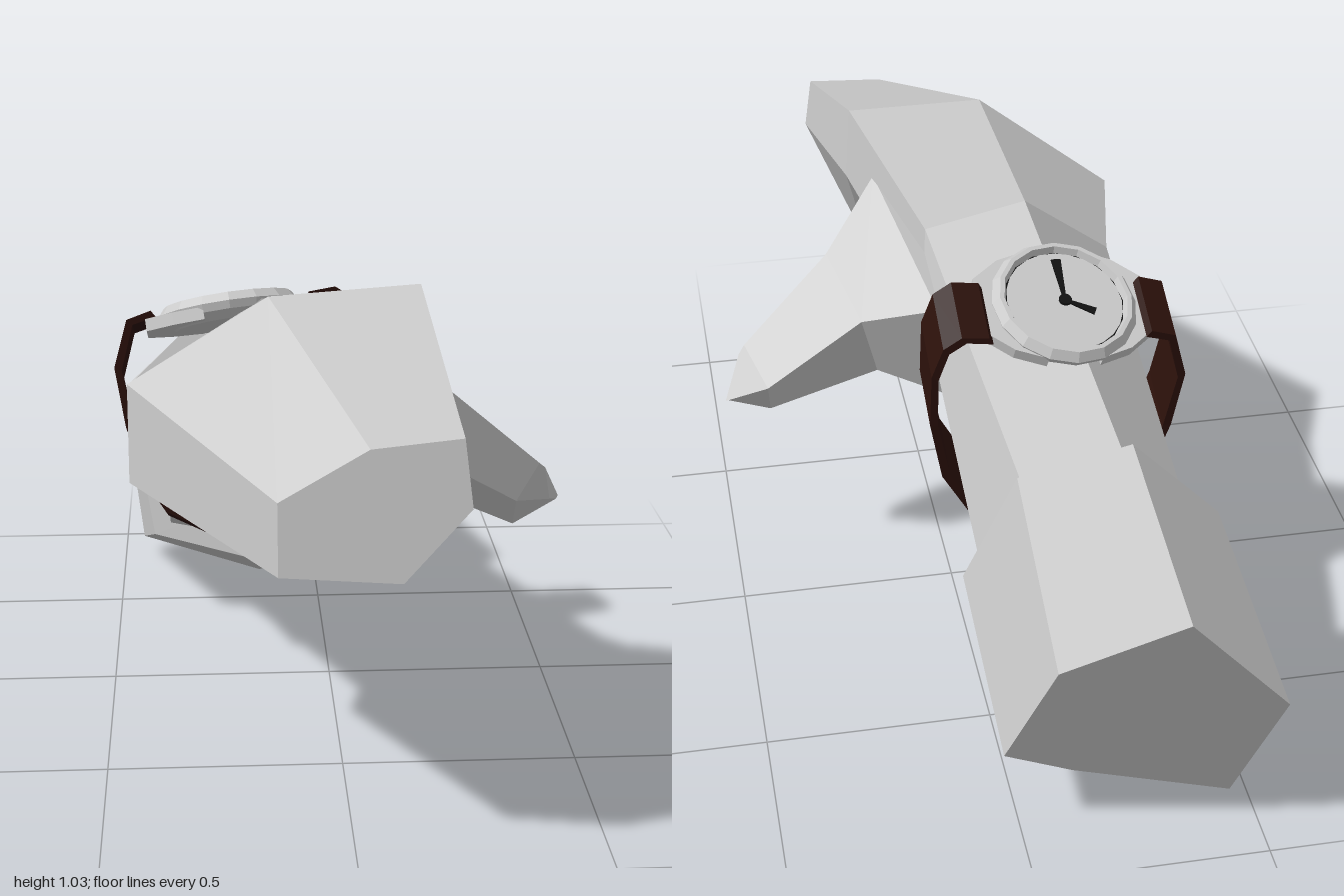
import * as THREE from 'three';

const V = (p) => new THREE.Vector3(...p);
const paint = (color) => new THREE.MeshStandardMaterial({ color });

// Skin a row of cross-sections with equal point counts, capping both ends.
// Every quad and cap gets one shared normal, so it shades as a single facet.
function loft(rings) {
  const r = rings.map((ring) => ring.map(V));
  const n = r[0].length, faces = [[...r[0]].reverse(), r[r.length - 1]];
  for (let i = 0; i + 1 < r.length; i++) {
    for (let j = 0; j < n; j++) {
      const k = (j + 1) % n;
      faces.push([r[i][j], r[i][k], r[i + 1][k], r[i + 1][j]]);
    }
  }
  const fan = (f) => f.slice(2).map((p, i) => [f[0], f[i + 1], p]);
  // A negative enclosed volume means the faces point inward: turn them round.
  const volume = faces.flatMap(fan).reduce((s, [a, b, c]) => s + a.dot(b.clone().cross(c)), 0);
  const points = [], normals = [];
  for (const face of faces) {
    const tris = fan(face).map(([a, b, c]) => (volume < 0 ? [a, c, b] : [a, b, c]));
    const normal = new THREE.Vector3();
    for (const [a, b, c] of tris) normal.add(b.clone().sub(a).cross(c.clone().sub(a)));
    normal.normalize();
    for (const p of tris.flat()) {
      points.push(p);
      normals.push(...normal.toArray());
    }
  }
  const g = new THREE.BufferGeometry().setFromPoints(points);
  g.setAttribute('normal', new THREE.Float32BufferAttribute(normals, 3));
  return g;
}

export function createModel() {
  const model = new THREE.Group();
  model.name = 'forearmWithWatch';
  const grey = paint(0xcccccc), leather = paint(0x2c110b), black = paint(0x111111);
  const add = (name, geometry, material = grey, parent = model) => {
    const mesh = new THREE.Mesh(geometry, material);
    mesh.name = name;
    parent.add(mesh);
    return mesh;
  };

  // Hand and forearm: fingertips, knuckles, wrist, cuff opening, inside the cuff.
  // Each ring runs left edge, top, top right, right edge, bottom right, bottom left.
  const armEnd = [[-0.42, 0.53, -0.5], [-0.28, 0.68, -0.53], [-0.06, 0.65, -0.54],
    [0.02, 0.42, -0.46], [-0.13, 0.205, -0.36], [-0.37, 0.255, -0.36]];
  add('handAndForearm', loft([
    [[-0.15, 0.735, 0.93], [0.02, 0.845, 0.96], [0.195, 0.86, 0.95],
      [0.21, 0.73, 0.97], [0.08, 0.597, 1], [-0.15, 0.595, 0.95]],
    [[-0.44, 0.82, 0.4], [-0.15, 1.02, 0.48], [0.16, 1.035, 0.45],
      [0.17, 0.86, 0.46], [0.11, 0.62, 0.51], [-0.44, 0.61, 0.41]],
    [[-0.4, 0.76, 0.2], [-0.2, 0.915, 0.18], [0.03, 0.87, 0.17],
      [0.04, 0.68, 0.15], [-0.075, 0.58, 0.34], [-0.365, 0.55, 0.27]],
    armEnd,
    armEnd.map(([x, y, z]) => [x, y - 0.03, z - 0.08]),
  ]));

  // Thumb: root buried in the palm, base, middle joint, tip, blunt end.
  const thumbBase = [[0.12, 0.91, 0.36], [0.03, 0.76, 0], [0, 0.47, 0.09], [0.1, 0.62, 0.41]];
  add('thumb', loft([
    thumbBase.map(([x, y, z]) => [x - 0.1, y * 0.8 + 0.14, z]),
    thumbBase,
    [[0.245, 0.76, 0.28], [0.19, 0.69, 0.09], [0.15, 0.52, 0.14], [0.19, 0.62, 0.28]],
    [[0.45, 0.575, 0.215], [0.41, 0.54, 0.08], [0.4, 0.42, 0.17], [0.4, 0.49, 0.22]],
    [[0.465, 0.56, 0.2], [0.505, 0.475, 0.14], [0.5, 0.47, 0.15], [0.48, 0.48, 0.18]],
  ]));

  // Wide sleeve cuff around the end of the forearm.
  add('sleeveCuff', loft([
    [[-0.475, 0.55, -0.545], [-0.285, 0.74, -0.53], [-0.04, 0.7, -0.55],
      [0.055, 0.38, -0.46], [-0.11, 0.15, -0.325], [-0.41, 0.21, -0.4]],
    [[-0.505, 0.415, -1], [-0.305, 0.615, -0.96], [-0.035, 0.56, -0.99],
      [0.04, 0.225, -0.855], [-0.145, 0, -0.7], [-0.45, 0.045, -0.855]],
  ]));

  // Leather strap: a thin band hung loosely around the wrist, lug to lug.
  const path = [[-0.4, 0.83], [-0.455, 0.81], [-0.485, 0.7], [-0.462, 0.56],
    [-0.42, 0.43], [-0.372, 0.355], [-0.24, 0.288], [-0.1, 0.272], [-0.03, 0.335], [0.06, 0.5],
    [0.088, 0.65], [0.085, 0.78], [0.06, 0.85], [0.02, 0.875], [-0.04, 0.865]];
  add('watchStrap', loft(path.map(([x, y]) => {
    const z = -0.135 - 0.03 * Math.max(0, (y - 0.3) / 0.55) - 0.05 * (x + 0.2);
    const inward = new THREE.Vector2(-0.2 - x, 0.58 - y).setLength(0.018);
    const at = (k, side) => [x + inward.x * k, y + inward.y * k + 0.027 * side, z + 0.068 * side];
    return [at(0, 1), at(0, -1), at(1, -1), at(1, 1)];
  })), leather);

  // Watch, tilted to lie along the back of the wrist and rolled to the outside.
  const watch = new THREE.Group();
  watch.name = 'watch';
  watch.position.set(-0.222, 0.84, -0.14);
  watch.rotation.set(-0.36, 0, 0.13);
  model.add(watch);
  const profile = [[0, -0.03], [0.125, -0.03], [0.155, -0.012], [0.162, 0.006], [0.148, 0.026],
    [0.138, 0.026], [0.132, 0.01]].map(([x, y]) => new THREE.Vector2(x, y));
  const caseShell = new THREE.LatheGeometry(profile, 16).toNonIndexed();
  caseShell.computeVertexNormals();
  add('watchCase', caseShell, grey, watch);
  add('dialRim', new THREE.CylinderGeometry(0.134, 0.134, 0.02, 24), black, watch);
  add('dial', new THREE.CylinderGeometry(0.129, 0.129, 0.024, 24), grey, watch);

  // Flat plate turned to lie level, its outline given as x and depth.
  const plate = (outline, depth) => new THREE.ExtrudeGeometry(
    new THREE.Shape(outline.map(([x, y]) => new THREE.Vector2(x, y))),
    { depth, bevelEnabled: false },
  ).rotateX(-Math.PI / 2);

  // Tapered lugs that hold the strap on each side.
  for (const side of [0, 1]) {
    const lug = add('lug', plate([[0.06, -0.145], [0.13, -0.12], [0.192, -0.07],
      [0.192, 0.07], [0.13, 0.12], [0.06, 0.145]], 0.028), grey, watch);
    lug.position.y = -0.027;
    lug.rotation.y = side * Math.PI;
  }

  // Tapered hands, broad at the outer end, and their hub.
  const hand = (name, length, width, angle) => {
    const outline = [[-0.003, 0], [0.003, 0], [width, length], [-width, length]];
    const mesh = add(name, plate(outline, 0.004), black, watch);
    mesh.position.y = 0.012;
    mesh.rotation.y = angle;
  };
  hand('minuteHand', 0.11, 0.011, Math.PI);
  hand('hourHand', 0.07, 0.009, 1.1);
  add('handHub', new THREE.CylinderGeometry(0.014, 0.014, 0.01, 12), black, watch).position.y = 0.014;

  return model;
}
